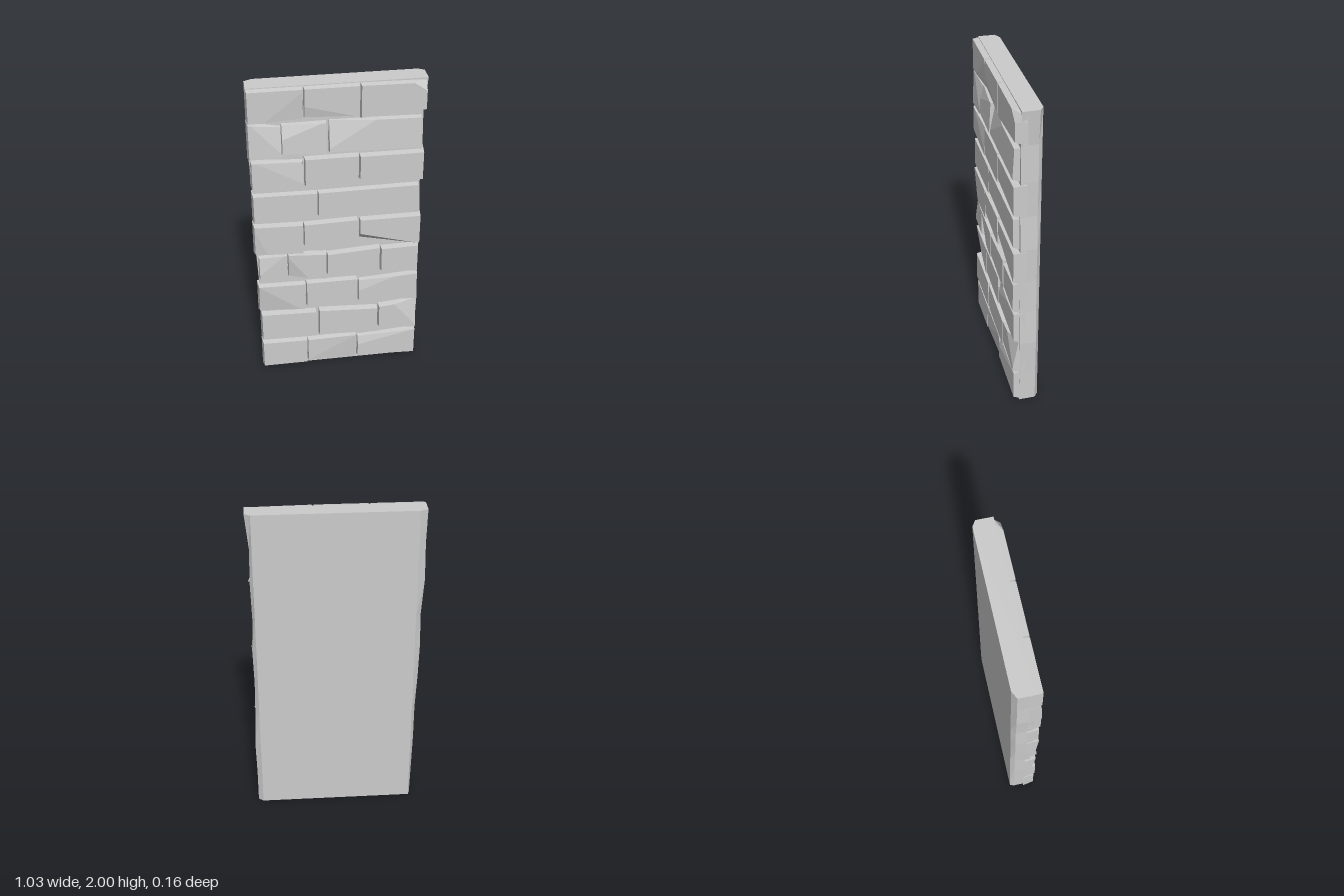
import * as THREE from 'three';

const BED = 0.04;      // depth of the joints' floor
const BACK = -0.083;

function flatMesh(tris, name) {
  const geo = new THREE.BufferGeometry();
  geo.setAttribute('position', new THREE.Float32BufferAttribute(tris.flatMap(p => [p.x, p.y, p.z]), 3));
  geo.computeVertexNormals();
  const mesh = new THREE.Mesh(geo, new THREE.MeshStandardMaterial({ color: 0xcccccc, flatShading: true }));
  mesh.name = name;
  return mesh;
}
const V = (x, y, z) => new THREE.Vector3(x, y, z);
const quad = (out, a, b, c, d) => out.push(a, b, c, a, c, d);

// Backing slab: cross-sections stacked up the height, chamfered at the back edges
function makeSlab() {
  const levels = [ // y, left edge, right edge
    [0, -0.48, 0.51], [0.22, -0.485, 0.51], [0.45, -0.49, 0.515], [0.68, -0.49, 0.505],
    [0.9, -0.5, 0.5], [1.12, -0.505, 0.505], [1.34, -0.5, 0.495], [1.56, -0.515, 0.5],
    [1.79, -0.51, 0.495], [2, -0.515, 0.515],
  ];
  const rings = levels.map(([y, l, r]) => [
    V(l, y, BED), V(r, y, BED), V(r, y, -0.06), V(0.48, y, BACK), V(-0.47, y, BACK), V(l, y, -0.06),
  ]);
  const out = [];
  for (let i = 0; i < rings.length - 1; i++) {
    for (let j = 0; j < 6; j++) {
      const k = (j + 1) % 6;
      quad(out, rings[i][j], rings[i][k], rings[i + 1][k], rings[i + 1][j]);
    }
  }
  const bottom = rings[0], top = rings[rings.length - 1];
  for (let j = 1; j < 5; j++) {
    out.push(top[0], top[j], top[j + 1], bottom[0], bottom[j + 1], bottom[j]);
  }
  return flatMesh(out, 'backingSlab');
}

// Stone with sloping sides; chip = [corner, reach to previous, reach to next, depth]
// Corners: 0 bottom left, 1 bottom right, 2 top right, 3 top left
function makeStone([xl, xr, bl, br, tl, tr], z, chip = [0, 0.5, 0.5, 0], lean = 0) {
  const face = [V(xl, bl, z), V(xr, br, z), V(xr, tr, z - lean), V(xl, tl, z - lean)];
  const root = face.map((p, i) => V(
    THREE.MathUtils.clamp(p.x + (i === 1 || i === 2 ? 0.008 : -0.008), -0.52, 0.52),
    THREE.MathUtils.clamp(p.y + (i < 2 ? -0.024 : 0.01), 0, 2),
    BED - 0.035));
  const [c, toPrev, toNext, depth] = chip;
  const outline = q => {
    const at = n => q[(c + n) % 4];
    return [at(0).clone().lerp(at(1), toNext), at(1), at(2), at(3), at(0).clone().lerp(at(3), toPrev), at(0).clone()];
  };
  const f = outline(face), r = outline(root);
  f[5].z -= depth;
  const out = [f[2], f[3], f[4], f[2], f[4], f[0], f[2], f[0], f[1], f[4], f[5], f[0]];
  for (let i = 0; i < 6; i++) {
    const k = (i + 1) % 6;
    quad(out, r[i], r[k], f[k], f[i]);
  }
  return flatMesh(out, 'stone');
}

export function createModel() {
  const model = new THREE.Group();
  model.name = 'stoneWallPanel';
  model.add(makeSlab());

  const addRow = (z, stones, chips = {}, lean = 0) => {
    const row = new THREE.Group();
    row.name = 'stoneRow';
    stones.forEach((s, i) => row.add(makeStone(s, z, chips[i], lean)));
    model.add(row);
  };

  // Rows from the ground up; each stone: left, right, bottom l/r, top l/r
  addRow(0.075, [
    [-0.485, -0.205, 0.025, 0.025, 0.21, 0.205],
    [-0.195, 0.115, 0.04, 0.025, 0.205, 0.21],
    [0.13, 0.505, 0.04, 0.025, 0.19, 0.215],
  ], { 1: [1, 1, 1, 0.015], 2: [3, 1, 0.4, 0.012] });
  addRow(0.081, [
    [-0.485, -0.145, 0.25, 0.245, 0.445, 0.435],
    [-0.12, 0.25, 0.25, 0.235, 0.44, 0.42],
    [0.265, 0.505, 0.275, 0.24, 0.43, 0.455],
  ], { 2: [2, 0.9, 0.6, 0.035] });
  addRow(0.076, [
    [-0.495, -0.21, 0.47, 0.467, 0.663, 0.658],
    [-0.197, 0.117, 0.49, 0.467, 0.663, 0.663],
    [0.133, 0.502, 0.497, 0.472, 0.645, 0.668],
  ], { 0: [0, 1, 0.9, 0.025], 2: [3, 0.6, 0.5, 0.012] });
  addRow(0.081, [
    [-0.485, -0.318, 0.727, 0.71, 0.875, 0.89],
    [-0.307, -0.075, 0.727, 0.695, 0.89, 0.875],
    [-0.065, 0.255, 0.725, 0.69, 0.87, 0.89],
    [0.27, 0.498, 0.72, 0.695, 0.88, 0.885],
  ], { 0: [3, 0.9, 0.8, 0.015], 1: [0, 0.9, 0.5, 0.02] });
  addRow(0.08, [
    [-0.505, -0.215, 0.912, 0.9, 1.108, 1.1],
    [-0.205, 0.115, 0.955, 0.922, 1.1, 1.108],
    [0.135, 0.503, 0.965, 0.905, 1.103, 1.103],
  ], { 0: [0, 0.9, 0.25, 0.012], 2: [0, 0.3, 0.95, 0.035] });
  addRow(0.076, [
    [-0.502, -0.128, 1.14, 1.135, 1.32, 1.315],
    [-0.117, 0.48, 1.16, 1.135, 1.315, 1.32],
  ]);
  addRow(0.081, [
    [-0.503, -0.207, 1.385, 1.358, 1.548, 1.53],
    [-0.193, 0.118, 1.375, 1.358, 1.548, 1.548],
    [0.13, 0.503, 1.395, 1.363, 1.543, 1.543],
  ], { 0: [2, 0.8, 0.9, 0.014] });
  addRow(0.082, [
    [-0.512, -0.327, 1.572, 1.58, 1.787, 1.757],
    [-0.322, -0.07, 1.597, 1.58, 1.772, 1.772],
    [-0.05, 0.48, 1.59, 1.58, 1.778, 1.767],
  ], { 0: [2, 0.9, 0.9, 0.02], 1: [3, 0.9, 0.5, 0.018], 2: [3, 0.5, 0.9, 0.025] }, 0.01);
  addRow(0.076, [
    [-0.51, -0.203, 1.798, 1.808, 1.99, 1.99],
    [-0.19, 0.12, 1.815, 1.808, 1.99, 1.99],
    [0.132, 0.505, 1.793, 1.82, 1.99, 1.985],
  ], { 0: [1, 0.7, 0.9, 0.014], 1: [0, 0.4, 0.9, 0.012], 2: [2, 0.3, 0.2, 0.035] });

  return model;
}
